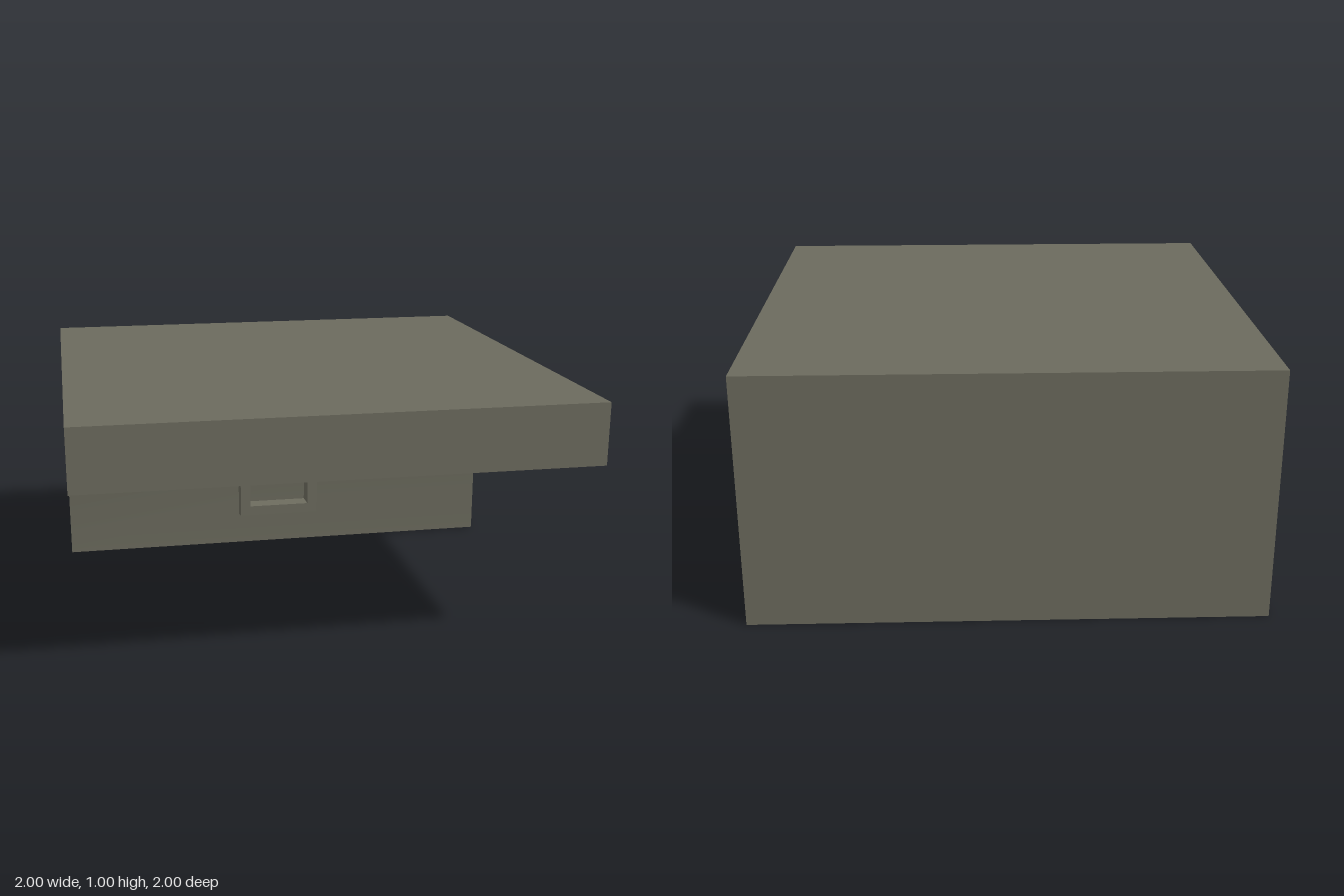
import * as THREE from 'three';
import { toCreasedNormals } from 'three/addons/utils/BufferGeometryUtils.js';

// Rectangular tube skin through rings of [halfWidth, bottom, top, z]
function ringGeometry(rings) {
  const corners = rings.map(([w, b, t, z]) => [[-w, b, z], [w, b, z], [w, t, z], [-w, t, z]]);
  const positions = [];
  for (let i = 0; i < rings.length - 1; i++) {
    for (let j = 0; j < 4; j++) {
      const k = (j + 1) % 4;
      const a = corners[i][j], b = corners[i][k], c = corners[i + 1][k], d = corners[i + 1][j];
      positions.push(...a, ...b, ...c, ...a, ...c, ...d);
    }
  }
  const geometry = new THREE.BufferGeometry();
  geometry.setAttribute('position', new THREE.Float32BufferAttribute(positions, 3));
  geometry.computeVertexNormals();
  return geometry;
}

export function createModel() {
  const model = new THREE.Group();
  model.name = 'overhangBlock';
  const stone = new THREE.MeshStandardMaterial({ color: 0x6b6a5d });
  stone.name = 'olive grey';

  // Wall and overhanging slab, joined by a rounded inner corner (z, y profile)
  const profile = [
    [1, 1], [-1, 1], [-1, 0], [-0.5, 0], [-0.5, 0.55],
    [-0.475, 0.665], [-0.41, 0.73], [-0.29, 0.755], [1, 0.755],
  ].map(([z, y]) => new THREE.Vector2(z, y));
  const body = new THREE.ExtrudeGeometry(new THREE.Shape(profile), { depth: 2, bevelEnabled: false });
  body.rotateY(-Math.PI / 2).translate(1, 0, 0);
  const wall = new THREE.Mesh(toCreasedNormals(body, 0.8), stone);
  wall.name = 'wallAndSlab';
  model.add(wall);

  // Raised frame with slightly tapered sides around a recessed panel
  const frame = new THREE.Mesh(ringGeometry([
    [0.19, 0.145, 0.55, -0.5],
    [0.187, 0.15, 0.547, -0.45],
    [0.14, 0.195, 0.507, -0.45],
    [0.132, 0.205, 0.5, -0.5],
  ]), stone);
  frame.name = 'panelFrame';
  model.add(frame);

  return model;
}
